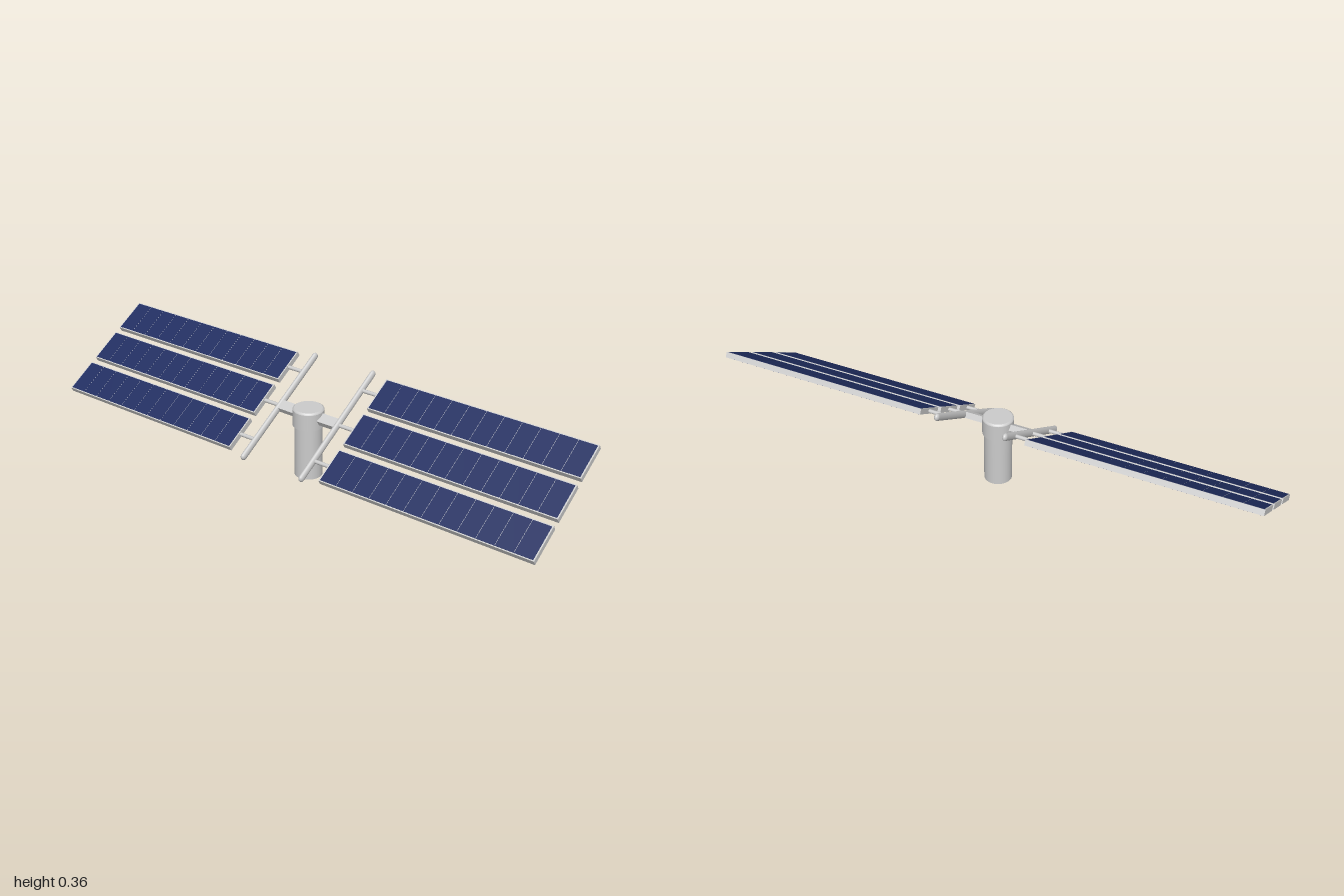
import * as THREE from 'three';

const grey = new THREE.MeshStandardMaterial({ color: 0xcccccc });
const blue = new THREE.MeshStandardMaterial({ color: 0x202d60 });

function part(parent, name, geometry, material, x = 0, y = 0, z = 0) {
  const mesh = new THREE.Mesh(geometry, material);
  mesh.name = name;
  mesh.position.set(x, y, z);
  parent.add(mesh);
  return mesh;
}

// Framed slab with a row of thin cells showing on both faces
function solarPanel() {
  const panel = new THREE.Group();
  panel.name = 'solarPanel';
  const width = 0.135, length = 0.805, thickness = 0.02, border = 0.004, count = 12;
  part(panel, 'panelFrame', new THREE.BoxGeometry(width, thickness, length), grey);
  const pitch = (length - 2 * border) / count;
  const cell = new THREE.BoxGeometry(width - 2 * border, thickness + 0.0016, pitch - 0.0016);
  for (let i = 0; i < count; i++) {
    part(panel, 'solarCell', cell, blue, 0, 0, (i - (count - 1) / 2) * pitch);
  }
  return panel;
}

// Axle, cross bar, struts and three panels on one side
function wing() {
  const group = new THREE.Group();
  const barZ = 0.127, panelStart = 0.195, spacing = 0.16;
  part(group, 'axle', new THREE.BoxGeometry(0.038, 0.022, barZ), grey, 0, 0, barZ / 2);

  const bar = new THREE.CapsuleGeometry(0.0135, 0.472, 8, 20);
  bar.rotateZ(Math.PI / 2);
  bar.scale(1, 1, 0.7);
  part(group, 'crossBar', bar, grey, 0, 0, barZ);

  const strut = new THREE.CylinderGeometry(0.007, 0.007, panelStart - barZ + 0.01, 12);
  strut.rotateX(Math.PI / 2);
  for (const i of [-1, 0, 1]) {
    part(group, 'strut', strut, grey, i * spacing, 0, (barZ + panelStart) / 2 + 0.005);
    const panel = solarPanel();
    panel.position.set(i * spacing, 0, panelStart + 0.4025);
    group.add(panel);
  }
  return group;
}

export function createModel() {
  const model = new THREE.Group();
  model.name = 'solarArray';

  // Mast and rounded hub cap
  part(model, 'mast', new THREE.CylinderGeometry(0.05, 0.05, 0.21, 40), grey, 0, 0.105, 0);
  const cap = [[0, 0.196], [0.056, 0.196], [0.056, 0.196], [0.056, 0.256], [0.056, 0.256],
    [0.0545, 0.26], [0.05, 0.263], [0.05, 0.263], [0, 0.263]];
  part(model, 'hub', new THREE.LatheGeometry(cap.map(([r, y]) => new THREE.Vector2(r, y)), 40), grey);

  // Both wings share one tilt
  const array = new THREE.Group();
  array.name = 'tiltedArray';
  array.position.y = 0.232;
  array.rotation.z = Math.PI / 6;
  const front = wing();
  front.name = 'frontWing';
  const back = wing();
  back.name = 'backWing';
  back.rotation.y = Math.PI;
  array.add(front, back);
  model.add(array);
  return model;
}
